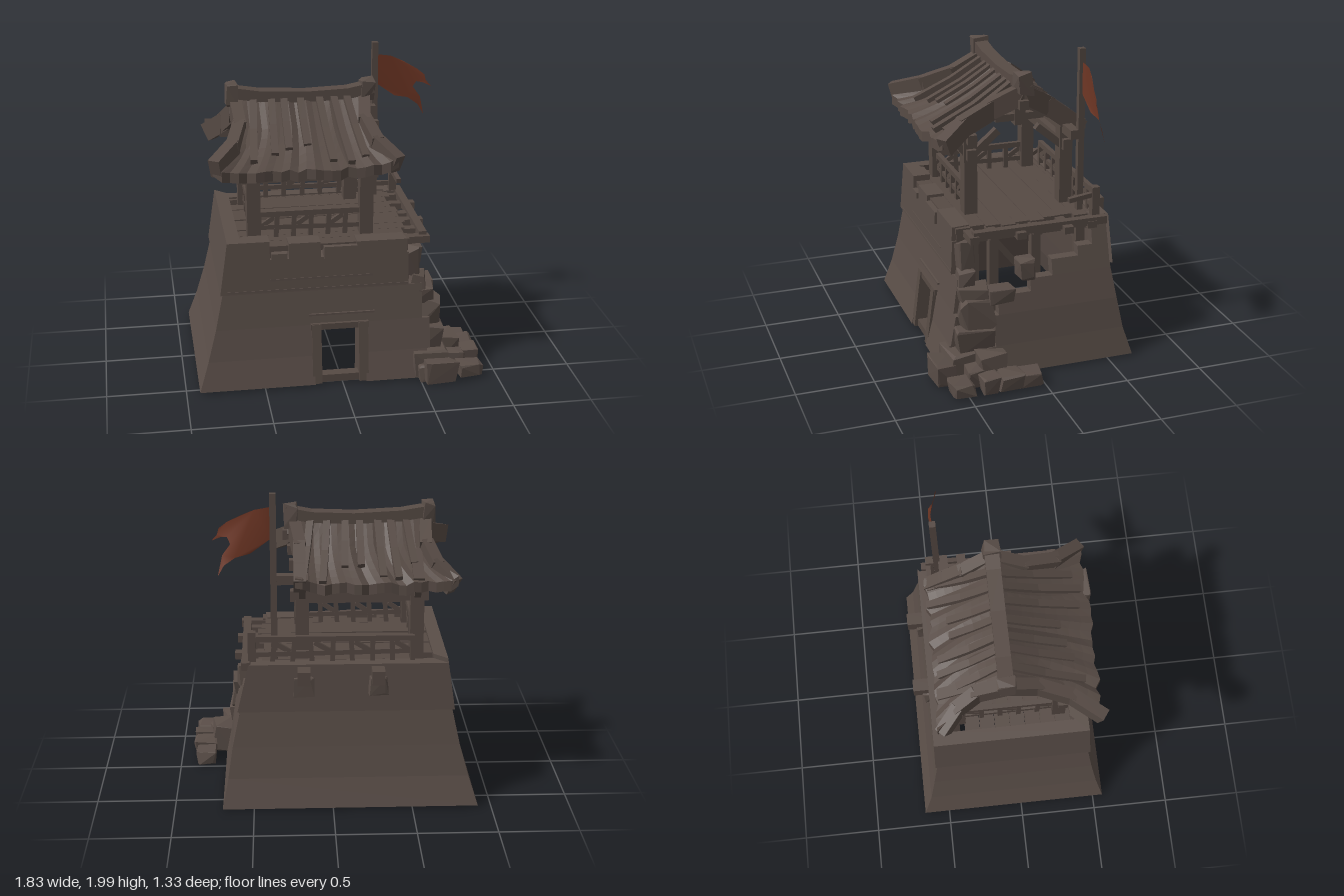
import * as THREE from 'three';
import { ConvexGeometry } from 'three/addons/geometries/ConvexGeometry.js';

const mat = (name, color, side = THREE.FrontSide) => {
  const m = new THREE.MeshStandardMaterial({ color, side });
  m.name = name;
  return m;
};
let seed = 7;
const rnd = (a = 0, b = 1) => {
  seed = (seed * 16807) % 2147483647;
  return a + (b - a) * (seed / 2147483647);
};
const V = (x, y, z) => new THREE.Vector3(x, y, z);

// Outer faces of the battered walls at each height
const YS = [0, 0.2, 0.4, 0.63, 0.97];
const table = (vals) => (y) => {
  let i = 0;
  while (i < YS.length - 2 && y > YS[i + 1]) i++;
  return THREE.MathUtils.lerp(vals[i], vals[i + 1], (y - YS[i]) / (YS[i + 1] - YS[i]));
};
const L = table([-0.92, -0.855, -0.8, -0.75, -0.7]);
const R = table([0.7, 0.66, 0.63, 0.58, 0.5]);
const F = table([0.57, 0.52, 0.485, 0.455, 0.44]);
const B = table([-0.67, -0.61, -0.575, -0.54, -0.53]);

export function createModel() {
  seed = 7;
  const root = new THREE.Group();
  const stone = mat('stone', 0x5a4e48);
  const wood = mat('weathered wood', 0x564a44);
  const tile = mat('roof tile', 0x574b45);
  const cloth = mat('rust cloth', 0x703725, THREE.DoubleSide);

  const part = (name) => {
    const g = new THREE.Group();
    g.name = name;
    root.add(g);
    return g;
  };
  const add = (g, name, geo, m) => {
    const mesh = new THREE.Mesh(geo, m);
    mesh.name = name;
    g.add(mesh);
    return mesh;
  };
  // Straight timber from a to b
  const beam = (g, name, a, b, w, h = w, m = wood) => {
    const p = V(...a), q = V(...b);
    const mesh = add(g, name, new THREE.BoxGeometry(w, h, p.distanceTo(q)), m);
    mesh.position.copy(p).add(q).multiplyScalar(0.5);
    mesh.lookAt(q);
    return mesh;
  };
  // Bent timber through several points, pieces overlapping a little
  const chain = (g, name, pts, w, h, m) => {
    for (let i = 0; i < pts.length - 1; i++) {
      const a = V(...pts[i]), b = V(...pts[i + 1]);
      const d = b.clone().sub(a).setLength(0.015);
      beam(g, name, a.sub(d).toArray(), b.add(d).toArray(), w, h, m);
    }
  };
  // Chipped boulder inside a box of the given size
  const rock = (g, x, y, z, sx, sy, sz) => {
    const pts = [];
    for (let i = 0; i < 16; i++) {
      const c = [i & 1, i & 2, i & 4].map((k) => (k ? 0.5 : -0.5) * rnd(0.55, 1));
      pts.push(V(x + c[0] * sx, Math.max(0.005, y + c[1] * sy), z + c[2] * sz));
    }
    add(g, 'rock', new ConvexGeometry(pts), stone);
  };
  // Piece of one wall between u0 and u1 along it and y0 and y1 up it
  const T = 0.07;
  const band = (g, side, u0, u1, y0, y1, out = 0, thick = T) => {
    const pts = [];
    for (const y of [y0, y1]) for (const u of [u0, u1]) for (const d of [-out, thick]) {
      const x = THREE.MathUtils.clamp(u, L(y) + d, R(y) - d);
      const z = THREE.MathUtils.clamp(u, B(y) + d, F(y) - d);
      if (side === 'front') pts.push(V(x, y, F(y) - d));
      if (side === 'back') pts.push(V(x, y, B(y) + d));
      if (side === 'left') pts.push(V(L(y) + d, y, z));
      if (side === 'right') pts.push(V(R(y) - d, y, z));
    }
    add(g, side + 'Wall', new ConvexGeometry(pts), stone);
  };

  // Lower walls, with a doorway and a broken front corner
  const walls = part('walls');
  const frontEnd = [0.55, 0.57, 0.52], rightEnd = [0.3, 0.25, 0.22];
  [[0.015, 0.2], [0.2, 0.4], [0.4, 0.63]].forEach(([y0, y1], i) => {
    band(walls, 'back', -9, 9, y0, y1);
    band(walls, 'left', -9, 9, y0, y1);
    if (i < 2) {
      band(walls, 'front', -9, -0.18, y0, y1);
      band(walls, 'front', 0.15, frontEnd[i], y0, y1);
    } else band(walls, 'front', -9, frontEnd[i], y0, y1);
    band(walls, 'right', -9, rightEnd[i], y0, Math.min(y1, 0.52));
  });
  // Stepped breakage of the right wall
  for (const [z, y0, y1] of [[0, 0.52, 0.6], [-0.15, 0.6, 0.7], [-0.33, 0.7, 0.76], [-0.43, 0.76, 0.94]])
    band(walls, 'right', -9, z, y0, y1);
  // Upper walls stand slightly proud of the lower ones
  band(walls, 'back', -9, 9, 0.63, 0.94, 0.015);
  band(walls, 'left', -9, 9, 0.63, 0.97, 0.015);
  band(walls, 'front', -9, 0.43, 0.63, 0.85, 0.015, 0.1);
  for (const [a, b, top] of [[-9, -0.45, 0.97], [-0.33, -0.13, 0.95], [0.1, 0.42, 0.94]])
    band(walls, 'front', a, b, 0.85, top, 0.015, 0.1);
  band(walls, 'front', -0.44, -0.34, 0.85, 0.89, 0.025, 0.08);
  band(walls, 'front', -0.11, 0.1, 0.84, 0.92, 0.03, 0.05);
  // Thin cracked strips on the front
  for (const [x0, x1, y] of [[-0.45, 0.2, 0.715], [-0.21, 0.21, 0.47], [-0.72, 0.43, 0.645]])
    beam(walls, 'wallStrip', [x0, y, F(y) + 0.012], [x1, y, F(y) + 0.012], 0.012, 0.012, stone);

  // Doorway
  const door = part('doorway');
  for (const x of [-0.165, 0.135]) {
    beam(door, 'doorJamb', [x, 0.01, 0.5], [x, 0.4, 0.45], 0.06, 0.12);
    beam(door, 'doorInnerPost', [x, 0.01, 0.4], [x, 0.42, 0.4], 0.06);
  }
  beam(door, 'doorLintel', [-0.2, 0.39, 0.46], [0.17, 0.39, 0.46], 0.09, 0.04);
  beam(door, 'doorSill', [-0.19, 0.04, 0.5], [0.16, 0.04, 0.5], 0.07, 0.05);

  // Collapsed corner and scattered rubble
  const rubble = part('rubble');
  for (const r of [
    [0.57, 0.1, 0.43, 0.26, 0.22, 0.28], [0.58, 0.26, 0.38, 0.2, 0.2, 0.26], [0.57, 0.42, 0.36, 0.18, 0.22, 0.24],
    [0.53, 0.53, 0.36, 0.18, 0.12, 0.22], [0.5, 0.62, 0.4, 0.12, 0.14, 0.12], [0.57, 0.52, 0.2, 0.14, 0.1, 0.18],
    [0.55, 0.66, 0.02, 0.12, 0.16, 0.12], [0.46, 0.76, 0.39, 0.1, 0.22, 0.12],
    [0.62, 0.08, 0.59, 0.24, 0.16, 0.16], [0.71, 0.11, 0.3, 0.18, 0.2, 0.2], [0.74, 0.07, 0.42, 0.16, 0.14, 0.14],
    [0.83, 0.05, 0.1, 0.14, 0.1, 0.22], [0.84, 0.06, 0.23, 0.16, 0.12, 0.18], [0.85, 0.06, 0.36, 0.14, 0.13, 0.13],
    [0.83, 0.05, 0.53, 0.17, 0.1, 0.17], [0.55, 0.06, 0.55, 0.14, 0.12, 0.14],
  ]) rock(rubble, ...r);

  // Plank deck with joists, stubs and the posts that carry it
  const deck = part('deck');
  for (let i = 0; i < 10; i++) {
    const z = 0.39 - i * 0.097;
    beam(deck, 'plank', [i === 8 ? -0.5 : -0.67, 0.915 + rnd(-0.008, 0.008), z], [rnd(0.42, 0.48), 0.915, z], 0.095, 0.035);
  }
  for (const x of [-0.45, -0.05, 0.4]) beam(deck, 'joist', [x, 0.86, 0.43], [x, 0.86, -0.52], 0.06, 0.07);
  beam(deck, 'edgeBeam', [0.54, 0.92, 0.36], [0.54, 0.92, -0.52], 0.05, 0.05);
  for (const [z, x] of [[0.36, 0.58], [0.22, 0.55], [0.06, 0.6], [-0.06, 0.56], [-0.25, 0.61], [-0.42, 0.57]])
    beam(deck, 'beamStub', [0.3, 0.9, z], [x, 0.9, z], 0.06, 0.045);
  for (const x of [-0.28, 0.18]) {
    beam(deck, 'backStub', [x, 0.88, -0.4], [x, 0.88, -0.645], 0.08, 0.09);
    rock(deck, x, 0.8, -0.55, 0.14, 0.14, 0.08);
  }
  for (const z of [0.33, 0.2, -0.08, -0.38]) beam(deck, 'deckPost', [0.44, 0.015, z], [0.44, 0.88, z], 0.06);
  beam(deck, 'deckBrace', [0.45, 0.62, 0.02], [0.45, 0.87, 0.22], 0.04);
  beam(deck, 'innerPost', [-0.4, 0.015, -0.4], [-0.4, 0.88, -0.4], 0.06);

  // Railings
  const rails = part('railings');
  const railing = (a, b, n) => {
    const at = (t, y) => [a[0] + (b[0] - a[0]) * t, y, a[1] + (b[1] - a[1]) * t];
    beam(rails, 'topRail', at(0, 1.085), at(1, 1.085), 0.03, 0.035);
    beam(rails, 'lowRail', at(0, 1.0), at(1, 0.985), 0.025, 0.03);
    for (let i = 0; i <= n; i++) beam(rails, 'baluster', at(i / n, 0.92), at(i / n + rnd(-0.02, 0.02), 1.1), 0.03);
    for (let i = 0; i < n; i += 2) beam(rails, 'brokenSlat', at((i + 0.1) / n, 1.0), at((i + 0.9) / n, 1.06), 0.02, 0.03);
  };
  railing([-0.5, 0.27], [0.16, 0.27], 6);
  railing([-0.53, 0.25], [-0.53, -0.34], 5);
  railing([-0.5, -0.47], [0.5, -0.47], 8);
  beam(rails, 'cornerPost', [0.5, 0.9, -0.46], [0.5, 1.13, -0.46], 0.05);
  beam(rails, 'brokenRail', [0.5, 1.08, -0.46], [0.51, 1.06, -0.28], 0.03);

  // Pavilion frame
  const frame = part('pavilionFrame');
  const zs = [0.27, -0.37];
  for (const x of [-0.53, 0.185]) {
    for (const z of zs) {
      const s = z > 0 ? 1 : -1;
      beam(frame, 'post', [x, 0.92, z], [x, 1.46, z], 0.085);
      beam(frame, 'brace', [x, 1.3, z], [x, 1.46, z - s * 0.19], 0.045);
      beam(frame, 'outerBrace', [x, 1.3, z], [x, 1.42, z + s * 0.09], 0.04);
      beam(frame, 'rafter', [x, 1.44, z + s * 0.1], [x, 1.66, -0.05], 0.07, 0.07);
    }
    beam(frame, 'kingPost', [x, 1.49, -0.06], [x, 1.7, -0.06], 0.07);
    beam(frame, 'collarTie', [x, 1.54, 0.1], [x, 1.54, -0.22], 0.045);
  }
  for (const z of zs) {
    beam(frame, 'plate', [-0.6, 1.335, z], [0.26, 1.335, z], 0.06, 0.07);
    beam(frame, 'purlin', [-0.68, 1.44, z], [z > 0 ? 0.27 : 0.38, 1.44, z], 0.06);
  }
  beam(frame, 'ridgePurlin', [-0.62, 1.64, -0.06], [0.3, 1.64, -0.06], 0.06);

  // Sagging roof slopes, flared toward the eaves
  const roof = part('roof');
  const roofY = (s) => 1.75 - 0.42 * s + 0.11 * s * s;
  const slope = (name, sign, run, flareL, flareR) => {
    const cols = 22, geo = new THREE.BoxGeometry(1, 1, 1, cols, 1, 8), p = geo.attributes.position;
    const lift = Array.from({ length: cols + 1 }, () => rnd(-0.012, 0.014));
    const ragged = Array.from({ length: cols + 1 }, () => rnd(-0.03, 0.01));
    for (let i = 0; i < p.count; i++) {
      const u = p.getX(i) + 0.5, s = sign * p.getZ(i) + 0.5, c = Math.round(u * cols);
      const f = Math.pow(Math.max(0, (s - 0.35) / 0.65), 1.5);
      const x = THREE.MathUtils.lerp(-0.6 - flareL * f, 0.22 + flareR * f, u);
      const corner = Math.pow(Math.abs(2 * u - 1), 4) * f * 0.04;
      const y = roofY(s) + lift[c] + corner + (p.getY(i) > 0 ? 0 : -0.045 - 0.02 * s);
      p.setXYZ(i, x, y, -0.07 + sign * (s * run + ragged[c] * s));
    }
    const flat = geo.toNonIndexed();
    flat.computeVertexNormals();
    add(roof, name, flat, tile);
    // Raised tile rows, some broken short
    for (let i = 0; i < 7; i++) {
      const x = -0.48 + i * 0.1 + rnd(-0.015, 0.015), end = rnd(0.6, 0.95), pts = [];
      for (const s of [0.05, end * 0.5, end]) pts.push([x + (x + 0.19) * 0.2 * s, roofY(s) + 0.006, -0.07 + sign * s * run]);
      chain(roof, 'tileRow', pts, 0.045, 0.04, tile);
    }
  };
  slope('frontSlope', 1, 0.58, 0.19, 0.13);
  slope('backSlope', -1, 0.43, 0.17, 0.01);

  // Heavy bent verges, ridge and lifted ends
  for (const v of [
    [[-0.6, 1.7, -0.07], [-0.59, 1.61, 0.12], [-0.65, 1.54, 0.32], [-0.77, 1.48, 0.49]],
    [[0.23, 1.7, -0.07], [0.2, 1.61, 0.12], [0.24, 1.53, 0.32], [0.34, 1.45, 0.47]],
    [[-0.6, 1.7, -0.07], [-0.59, 1.6, -0.24], [-0.64, 1.51, -0.36], [-0.74, 1.42, -0.46]],
    [[0.23, 1.7, -0.07], [0.2, 1.6, -0.24], [0.2, 1.51, -0.36], [0.2, 1.43, -0.46]],
  ]) chain(roof, 'verge', v, 0.075, 0.12, tile);
  chain(roof, 'ridge', [[-0.63, 1.795, -0.07], [-0.45, 1.765, -0.07], [-0.15, 1.75, -0.07], [0.12, 1.76, -0.07], [0.27, 1.79, -0.07]], 0.09, 0.07, tile);
  rock(roof, -0.62, 1.78, -0.07, 0.09, 0.15, 0.12);
  rock(roof, 0.25, 1.77, -0.07, 0.1, 0.16, 0.12);

  // Flagpole and torn flag
  const flag = part('flag');
  beam(flag, 'flagpole', [0.36, 0.9, -0.41], [0.36, 1.995, -0.41], 0.04);
  const outline = [[0.375, 1.91], [0.47, 1.895], [0.55, 1.86], [0.64, 1.81], [0.69, 1.77], [0.7, 1.73], [0.735, 1.69],
    [0.68, 1.715], [0.64, 1.72], [0.62, 1.68], [0.67, 1.61], [0.7, 1.48], [0.66, 1.55], [0.59, 1.6], [0.5, 1.62], [0.375, 1.71]];
  const cl = new THREE.ShapeGeometry(new THREE.Shape(outline.map((q) => new THREE.Vector2(...q))));
  const cp = cl.attributes.position;
  for (let i = 0; i < cp.count; i++)
    cp.setZ(i, -0.41 + 0.12 * (cp.getX(i) - 0.375) * Math.sin(cp.getX(i) * 16 + cp.getY(i) * 9));
  cl.computeVertexNormals();
  add(flag, 'tornCloth', cl, cloth);

  return root;
}
